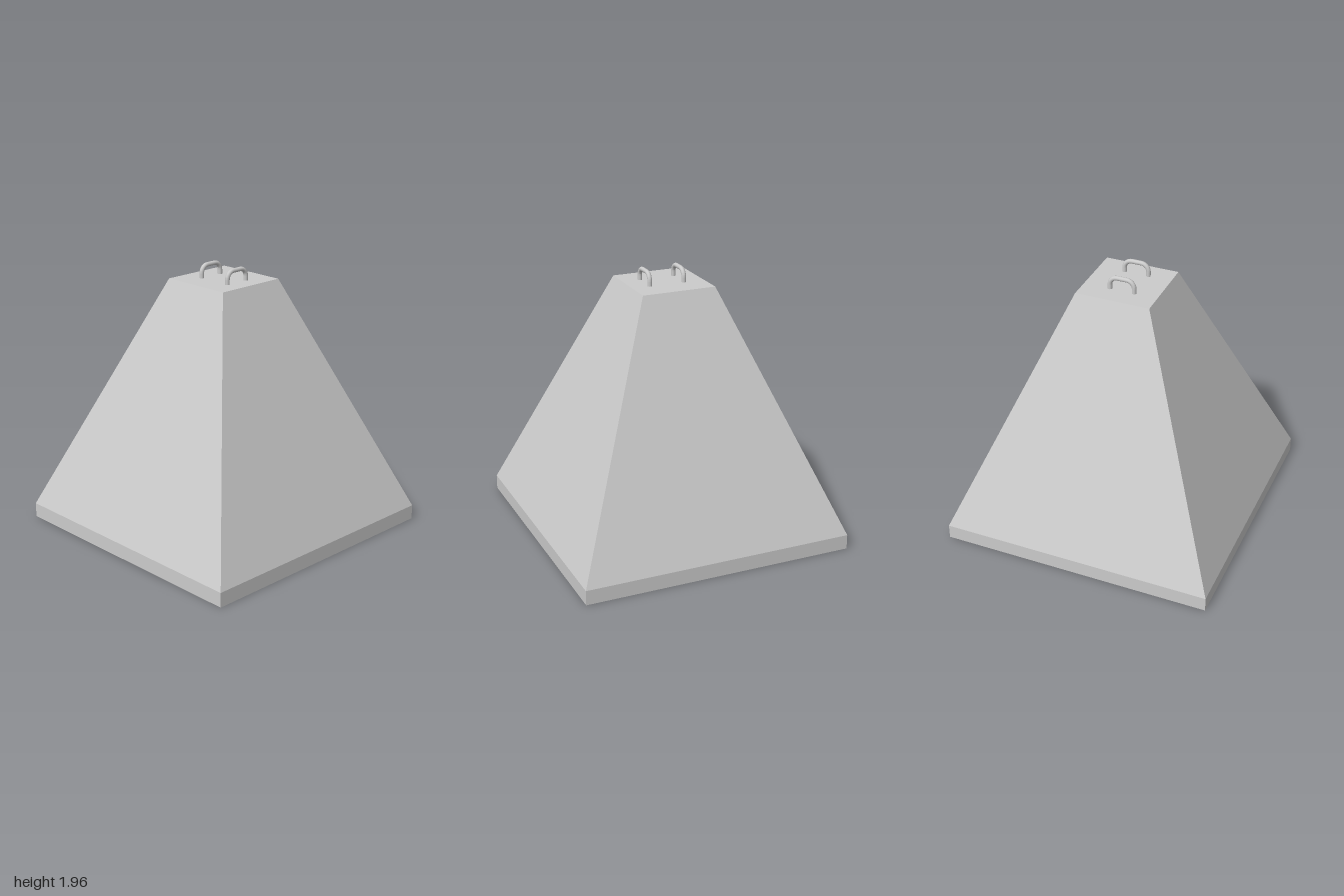
import * as THREE from 'three';

const material = new THREE.MeshStandardMaterial({ color: 0xcccccc });
const flat = new THREE.MeshStandardMaterial({ color: 0xcccccc, flatShading: true });

// Lifting loop: two legs joined by a bar with rounded corners, in the YZ plane
function createLoop(x) {
  const zFront = 0.10, zBack = -0.08, yBase = 1.84, yTop = 1.94, bend = 0.055;
  const v = (y, z) => new THREE.Vector3(0, y, z);
  const points = [v(yBase, zFront)];
  const corner = (zCentre, from) => {
    for (let i = 0; i <= 6; i++) {
      const a = from + (i / 6) * Math.PI / 2;
      points.push(v(yTop - bend + bend * Math.sin(a), zCentre + bend * Math.cos(a)));
    }
  };
  corner(zFront - bend, 0);
  corner(zBack + bend, Math.PI / 2);
  points.push(v(yBase, zBack));

  const path = new THREE.CurvePath();
  for (let i = 1; i < points.length; i++) {
    path.add(new THREE.LineCurve3(points[i - 1], points[i]));
  }
  const loop = new THREE.Mesh(new THREE.TubeGeometry(path, 48, 0.0165, 10), material);
  loop.position.x = x;
  return loop;
}

export function createModel() {
  const group = new THREE.Group();

  // Closed block: upright plinth edge, sloping sides and flat square top
  const profile = [[0, 0], [1, 0], [1, 0.107], [0.273, 1.85], [0, 1.85]]
    .map(([half, y]) => new THREE.Vector2(half * Math.SQRT2, y));
  const block = new THREE.Mesh(new THREE.LatheGeometry(profile, 4, Math.PI / 4), flat);
  block.name = 'pyramidBlock';
  group.add(block);

  // Pair of lifting loops on the top
  for (const [name, x] of [['rightLiftingLoop', -0.12], ['leftLiftingLoop', 0.14]]) {
    const loop = createLoop(x);
    loop.name = name;
    group.add(loop);
  }
  return group;
}
